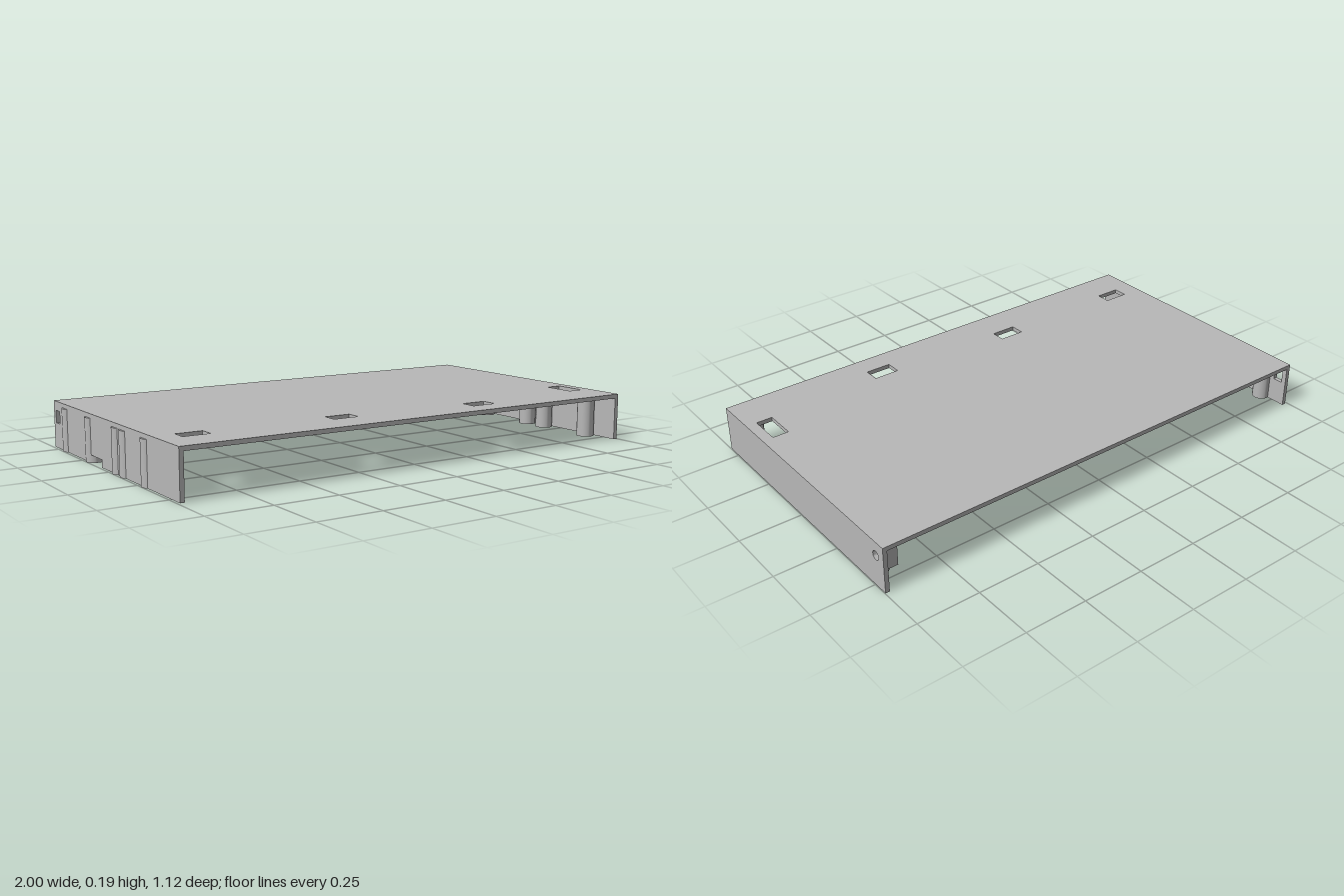
import * as THREE from 'three';
import { toCreasedNormals } from 'three/addons/utils/BufferGeometryUtils.js';

const HEIGHT = 0.187, THICK = 0.017, DEPTH = 0.56;
const X_LEFT = 0.998, X_RIGHT = -0.99;

function polygon(Type, points) {
  return new Type(points.map(([x, y]) => new THREE.Vector2(x, y)));
}

function rect(Type, x0, x1, y0, y1) {
  return polygon(Type, [[x0, y0], [x1, y0], [x1, y1], [x0, y1]]);
}

function circleHole(x, y, r) {
  const path = new THREE.Path();
  path.absarc(x, y, r, 0, Math.PI * 2, true);
  return path;
}

// Extrude a flat outline, keeping curved faces smooth and edges sharp
function extrude(shape, depth) {
  const geo = new THREE.ExtrudeGeometry(shape, { depth, bevelEnabled: false, curveSegments: 16 });
  return toCreasedNormals(geo, 0.6);
}

export function createModel() {
  const model = new THREE.Group();
  model.name = 'cover';
  const grey = new THREE.MeshStandardMaterial({ color: 0xb8b8b8 });
  grey.name = 'grey plastic';

  function add(name, geometry) {
    const mesh = new THREE.Mesh(geometry, grey);
    mesh.name = name;
    model.add(mesh);
  }

  // Upright panel drawn in (z, y), with its outermost +x face at the given x
  function upright(name, shape, thickness, x) {
    add(name, extrude(shape, thickness).rotateY(-Math.PI / 2).translate(x, 0, 0));
  }

  // Top plate with four rectangular slots, drawn in (x, z)
  const plate = rect(THREE.Shape, X_RIGHT, X_LEFT, -DEPTH, DEPTH);
  for (const slot of [
    [-0.905, -0.8, 0.355, 0.415],
    [-0.3, -0.195, 0.355, 0.415],
    [0.31, 0.415, 0.4, 0.465],
    [0.89, 0.955, 0.26, 0.39],
  ]) plate.holes.push(rect(THREE.Path, ...slot));
  add('topPlate', extrude(plate, THICK).rotateX(Math.PI / 2).translate(0, HEIGHT, 0));

  // Left wall with a round hole near the back
  const wallTop = HEIGHT - THICK;
  const leftWall = rect(THREE.Shape, -DEPTH, DEPTH, 0, wallTop);
  leftWall.holes.push(circleHole(-0.513, 0.13, 0.018));
  upright('leftWall', leftWall, THICK, X_LEFT);

  // Block inside the left wall, bored in line with the hole
  const block = rect(THREE.Shape, -0.55, -0.477, 0.085, wallTop);
  block.holes.push(circleHole(-0.513, 0.13, 0.018));
  upright('holeBlock', block, 0.045, X_LEFT - THICK);

  // Right wall with a notch in its lower edge and a slot near the back
  const rightWall = polygon(THREE.Shape, [
    [-DEPTH, 0], [-0.19, 0], [-0.19, 0.03], [-0.085, 0.03], [-0.085, 0],
    [DEPTH, 0], [DEPTH, wallTop], [-DEPTH, wallTop],
  ]);
  rightWall.holes.push(rect(THREE.Path, -0.54, -0.5, 0.1, 0.15));
  upright('rightWall', rightWall, THICK, X_RIGHT + THICK);

  // Hollow screw posts along both walls
  const ring = new THREE.Shape();
  ring.absarc(0, 0, 0.035, 0, Math.PI * 2, false);
  ring.holes.push(circleHole(0, 0, 0.016));
  const post = extrude(ring, wallTop).rotateX(-Math.PI / 2);
  for (const z of [-0.44, -0.2, 0.075, 0.18, 0.43]) add('leftPost', post.clone().translate(0.947, 0, z));
  for (const z of [-0.445, -0.21, 0.04, 0.107, 0.288]) add('rightPost', post.clone().translate(-0.965, 0, z));

  return model;
}
